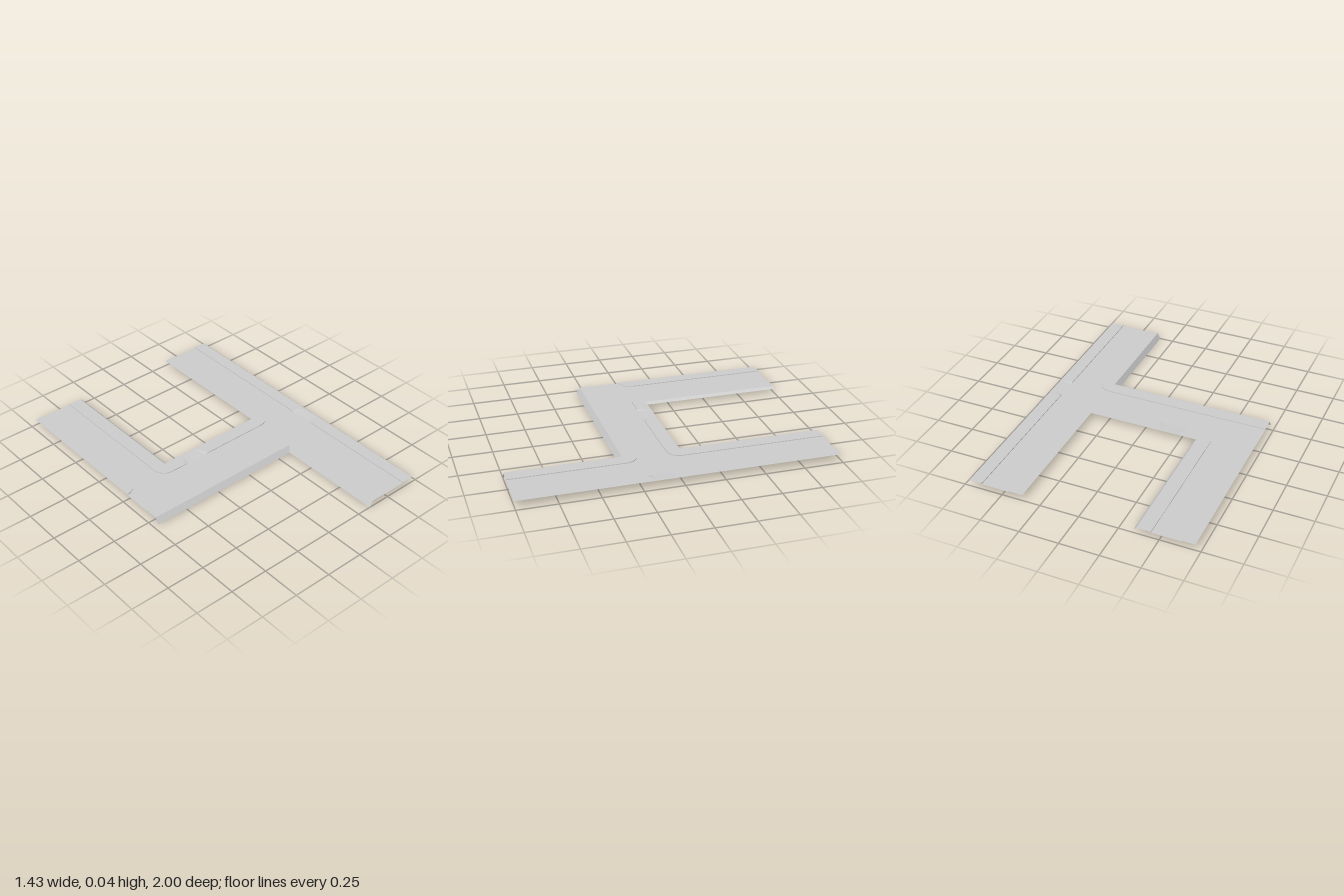
import * as THREE from 'three';

const TOP = 0.04, ROAD = 0.035, W = 0.717;

// Points of a rounded corner in plan (x, z), angles in degrees
function arc(cx, cz, r, from, to, n = 8) {
  return Array.from({ length: n + 1 }, (_, i) => {
    const a = THREE.MathUtils.degToRad(from + (to - from) * i / n);
    return [cx + r * Math.cos(a), cz + r * Math.sin(a)];
  });
}

// Flat horizontal sheet from a plan outline
function sheet(points, y) {
  const shape = new THREE.Shape(points.map(([x, z]) => new THREE.Vector2(x, -z)));
  return new THREE.ShapeGeometry(shape).rotateX(-Math.PI / 2).translate(0, y, 0);
}

// Flat-shaded strip between two lines of 3D points
function strip(a, b) {
  const pos = [];
  for (let i = 0; i < a.length - 1; i++) {
    pos.push(...a[i], ...b[i], ...b[i + 1], ...a[i], ...b[i + 1], ...a[i + 1]);
  }
  const g = new THREE.BufferGeometry();
  g.setAttribute('position', new THREE.Float32BufferAttribute(pos, 3));
  g.computeVertexNormals();
  return g;
}

export function createModel() {
  const group = new THREE.Group();
  const concrete = new THREE.MeshStandardMaterial({ color: 0xcccccc, side: THREE.DoubleSide });
  concrete.name = 'concrete grey';
  const add = (name, geometry) => {
    const mesh = new THREE.Mesh(geometry, concrete);
    mesh.name = name;
    group.add(mesh);
  };

  // Kerb lines in plan; a ramp gives kerb ends, lowered kerb and its back edge
  const northRamp = { kerb: [[-0.27, 0], [-0.24, 0], [-0.11, 0], [-0.08, 0]], back: [[-0.23, -0.08], [-0.12, -0.08]] };
  const eastRamp = { kerb: [[0.635, 0.2], [0.635, 0.17], [0.635, 0.04], [0.635, 0.01]], back: [[0.7, 0.17], [0.7, 0.04]] };
  const pavements = [
    { name: 'westPavement', start: [[-0.64, -1], ...arc(-W + 0.001, -0.08, 0.079, 0, 90), [-W, -0.001]], end: [], outer: [[-W, -1]] },
    {
      name: 'southPavement', start: [[-W, 0.19], ...arc(0.37, 0.27, 0.08, -90, 0), [0.45, 1]], end: [],
      outer: [[0.365, 1], [0.365, 0.277], [-W, 0.277]],
    },
    { name: 'eastPavement', start: [[0.635, 1]], ramp: eastRamp, end: [[0.635, -1]], outer: [[W, -1], [W, 1]] },
    {
      name: 'northPavement', start: [[-0.45, -1], ...arc(-0.37, -0.08, 0.08, 180, 90)], ramp: northRamp,
      end: [...arc(0.37, -0.08, 0.08, 90, 0), [0.45, -1]],
      outer: [[0.363, -1], [0.363, -0.088], [-0.36, -0.088], [-0.36, -1]],
    },
  ];

  for (const { name, start, ramp, end, outer } of pavements) {
    const high = ([x, z]) => [x, TOP, z], low = ([x, z]) => [x, ROAD, z];
    let edge = [...start, ...end], kerbTop = edge.map(high), kerbLine = edge;
    if (ramp) {
      const [p, a, b, q] = ramp.kerb, [r, s] = ramp.back;
      edge = [...start, p, r, s, q, ...end];
      kerbLine = [...start, ...ramp.kerb, ...end];
      kerbTop = [...start.map(high), high(p), low(a), low(b), high(q), ...end.map(high)];
      // Dropped kerb with sloping sides
      add(name + 'Ramp', strip([high(p), low(a), low(b), high(q)], [high(r), high(r), high(s), high(s)]));
    }
    add(name, sheet([...edge, ...outer], TOP));
    add(name + 'Kerb', strip(kerbTop, kerbLine.map(low)));
  }

  // Sunken roadway between the kerbs
  const line = ({ start, end }) => [...start, ...end];
  const [west, south, east, north] = pavements.map(line);
  add('roadway', sheet([...west, ...south, ...east, ...north.reverse()], ROAD));

  // Sloping skirts along the open edges
  add('frontSkirt', strip(
    [[-W, TOP, 0.277], [0.365, TOP, 0.277], [0.365, TOP, 1]],
    [[-W, 0, 0.3], [0.345, 0, 0.3], [0.345, 0, 1]]));
  add('innerSkirt', strip(
    [[-0.36, TOP, -0.088], [-0.36, TOP, -1]],
    [[-0.344, 0.024, -0.088], [-0.344, 0.024, -1]]));
  return group;
}
